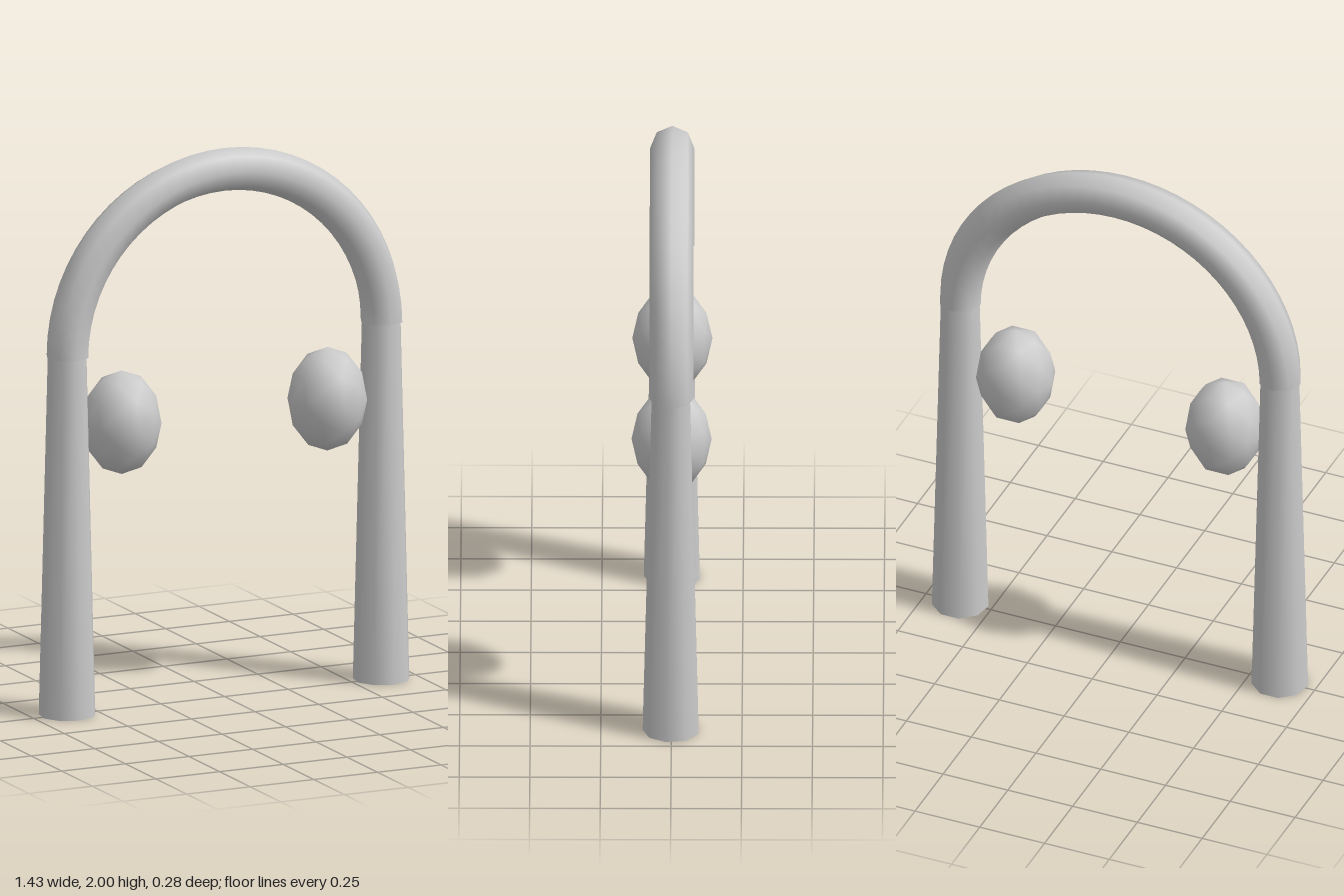
import * as THREE from 'three';

const SPAN = 0.617; // half distance between the legs
const SPRING = 1.305; // height where the arch starts

export function createModel() {
  const model = new THREE.Group();
  model.name = 'archWithBulbs';
  const grey = new THREE.MeshStandardMaterial({ color: 0xcccccc });
  const greyOpen = new THREE.MeshStandardMaterial({ color: 0xcccccc, side: THREE.DoubleSide });

  const add = (name, geometry, material, x, y) => {
    const mesh = new THREE.Mesh(geometry, material);
    mesh.name = name;
    mesh.position.set(x, y, 0);
    model.add(mesh);
  };

  // Half-ring arch, open at both ends
  add('arch', new THREE.TorusGeometry(SPAN, 0.078, 8, 32, Math.PI), greyOpen, 0, SPRING);

  // Tapered nine-sided legs and egg-shaped bulbs inside them
  const leg = new THREE.CylinderGeometry(0.07, 0.102, SPRING, 9);
  const bulb = new THREE.IcosahedronGeometry(0.142, 1).scale(1, 1.33, 1);
  for (const [side, s] of [['left', 1], ['right', -1]]) {
    add(side + 'Leg', leg, grey, s * SPAN, SPRING / 2);
    add(side + 'Bulb', bulb, grey, s * 0.404, 1.043);
  }
  return model;
}
